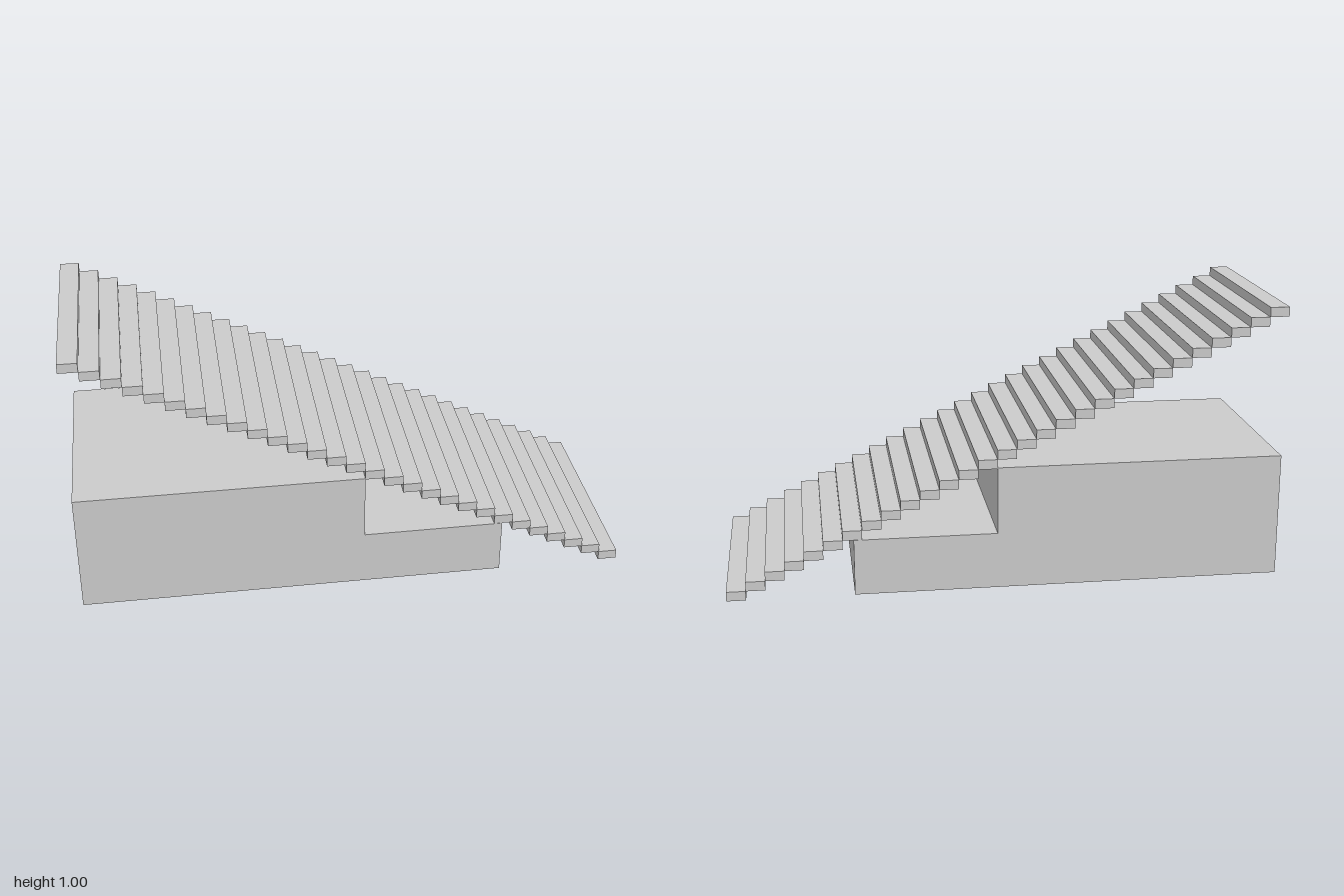
import * as THREE from 'three';

const STEPS = 29;
const WIDTH = 0.776; // depth along z
const RUN = 2 / STEPS;
const RISE = 1 / STEPS;

export function createModel() {
  const model = new THREE.Group();
  model.name = 'staircase';
  const material = new THREE.MeshStandardMaterial({ color: 0xcccccc, flatShading: true });

  // Floating treads, descending from -x to +x
  const treads = new THREE.Group();
  treads.name = 'treads';
  const treadGeometry = new THREE.BoxGeometry(RUN, RISE, WIDTH);
  for (let i = 0; i < STEPS; i++) {
    const tread = new THREE.Mesh(treadGeometry, material);
    tread.name = `tread${i + 1}`;
    tread.position.set(-1 + (i + 0.5) * RUN, 1 - (i + 0.5) * RISE, 0);
    treads.add(tread);
  }
  model.add(treads);

  // Two-level base block under the stairs
  const profile = new THREE.Shape([
    [-1, 0], [0.547, 0], [0.547, 0.206], [0.034, 0.206], [0.034, 0.452], [-1, 0.452],
  ].map(([x, y]) => new THREE.Vector2(x, y)));
  const baseGeometry = new THREE.ExtrudeGeometry(profile, { depth: WIDTH, bevelEnabled: false });
  baseGeometry.translate(0, 0, -WIDTH / 2);
  const base = new THREE.Mesh(baseGeometry, material);
  base.name = 'steppedBase';
  model.add(base);

  return model;
}
